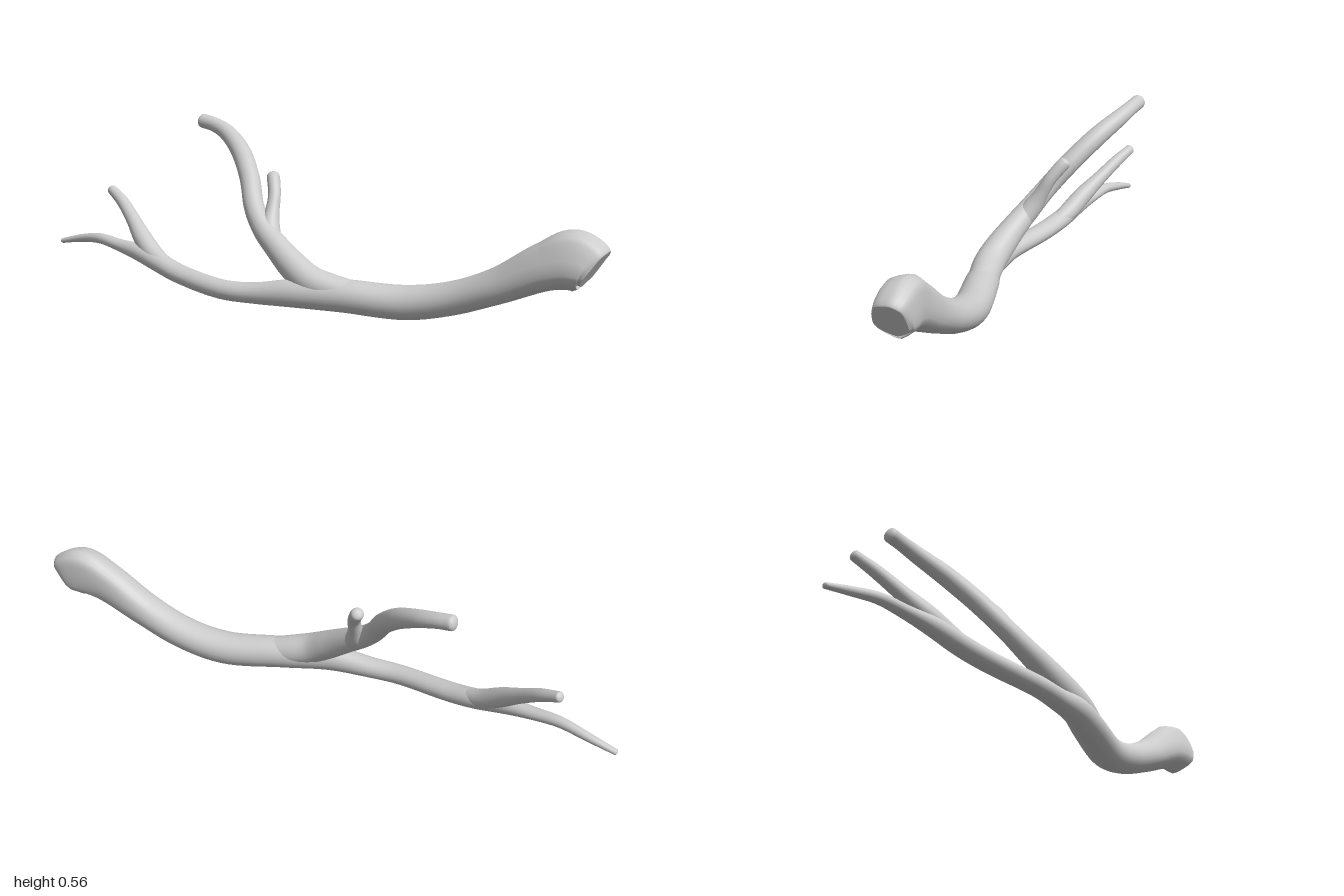
import * as THREE from 'three';

const SIDES = 28;
const STEPS = 8; // rings between neighbouring stations
const UP = new THREE.Vector3(0, 1, 0);

// Angular outline of the cut end, as (side, up) in units of the radii
const cutOutline = new THREE.CatmullRomCurve3(
  [[1, 0.05], [0.92, 0.72], [0.4, 1], [-0.5, 0.8], [-0.95, 0.05], [-1, -0.4], [-0.75, -0.7], [0.05, -1], [0.9, -0.55]]
    .map(([s, u]) => new THREE.Vector3(s, u, 0)), true, 'catmullrom', 0.3);

// Sweeps an oval section along stations [x, y, z, upRadius, sideRadius] and rounds off the tip.
// cutBlend(t) tells how much of the angular cut outline replaces the oval.
function limb(name, stations, material, cutBlend = () => 0) {
  const path = new THREE.CatmullRomCurve3(stations.map(s => new THREE.Vector3(s[0], s[1], s[2])));
  const radii = new THREE.CatmullRomCurve3(
    stations.map(s => new THREE.Vector3(s[3], s[4] ?? s[3], 0)), false, 'catmullrom', 0.5);
  const positions = [], index = [];
  const rings = (stations.length - 1) * STEPS;
  let ringCount = 0;

  const addRing = (t, scale = 1, push = 0) => {
    const tangent = path.getTangent(t);
    const side = new THREE.Vector3().crossVectors(tangent, UP).normalize();
    const up = new THREE.Vector3().crossVectors(side, tangent);
    const centre = path.getPoint(t).addScaledVector(tangent, push);
    const r = radii.getPoint(t).multiplyScalar(scale);
    for (let j = 0; j < SIDES; j++) {
      const a = (j / SIDES) * Math.PI * 2;
      const q = new THREE.Vector3(Math.cos(a), Math.sin(a), 0)
        .lerp(cutOutline.getPoint(j / SIDES), cutBlend(t));
      const p = centre.clone().addScaledVector(side, q.x * r.y).addScaledVector(up, q.y * r.x);
      positions.push(p.x, p.y, p.z);
    }
    ringCount++;
  };

  for (let i = 0; i <= rings; i++) addRing(i / rings);
  // Rounded tip
  const tip = stations[stations.length - 1][3];
  for (let k = 1; k <= 5; k++) {
    const a = (k / 5) * Math.PI / 2;
    addRing(1, Math.max(Math.cos(a), 0.001), Math.sin(a) * tip * 0.6);
  }
  for (let i = 0; i < ringCount - 1; i++) {
    for (let j = 0; j < SIDES; j++) {
      const a = i * SIDES + j, b = i * SIDES + (j + 1) % SIDES;
      index.push(a, a + SIDES, b, b, a + SIDES, b + SIDES);
    }
  }
  // Flat start cap with its own vertices, so that its rim stays sharp
  const base = positions.length / 3;
  positions.push(...positions.slice(0, SIDES * 3), ...path.getPoint(0).toArray());
  for (let j = 0; j < SIDES; j++) index.push(base + SIDES, base + j, base + (j + 1) % SIDES);

  const geometry = new THREE.BufferGeometry();
  geometry.setAttribute('position', new THREE.Float32BufferAttribute(positions, 3));
  geometry.setIndex(index);
  geometry.computeVertexNormals();
  const mesh = new THREE.Mesh(geometry, material);
  mesh.name = name;
  return mesh;
}

export function createModel() {
  const group = new THREE.Group();
  group.name = 'branch';
  const bark = new THREE.MeshStandardMaterial({ color: 0xcccccc, roughness: 0.9 });

  // Main stem, from the thick cut end to the thin tip
  group.add(limb('mainStem', [
    [0.995, 0.228, -0.024, 0.066, 0.055],
    [0.98, 0.238, -0.024, 0.081, 0.064],
    [0.93, 0.248, -0.02, 0.092, 0.066],
    [0.85, 0.224, -0.012, 0.075, 0.063],
    [0.7, 0.147, -0.004, 0.057, 0.06],
    [0.55, 0.089, 0.003, 0.053, 0.06],
    [0.4, 0.06, 0.026, 0.055, 0.059],
    [0.2, 0.068, 0.083, 0.053, 0.055],
    [0.05, 0.066, 0.13, 0.046, 0.045],
    [-0.08, 0.054, 0.152, 0.035, 0.038],
    [-0.2, 0.052, 0.161, 0.032, 0.036],
    [-0.4, 0.07, 0.122, 0.031, 0.038],
    [-0.5, 0.09, 0.098, 0.032, 0.036],
    [-0.6, 0.112, 0.08, 0.03, 0.031],
    [-0.7, 0.123, 0.063, 0.021, 0.024],
    [-0.8, 0.132, 0.045, 0.018, 0.019],
    [-0.9, 0.119, 0.027, 0.014, 0.015],
    [-0.992, 0.098, 0.021, 0.009, 0.011],
  ], bark, t => 1 - THREE.MathUtils.smoothstep(t, 0.1, 0.3)));

  // Large upper branch, flaring into the stem
  group.add(limb('upperBranch', [
    [0.28, 0.066, 0.062, 0.042],
    [0.18, 0.082, 0.086, 0.05],
    [0.1, 0.105, 0.102, 0.051],
    [0.03, 0.145, 0.094, 0.048],
    [-0.04, 0.192, 0.075, 0.042],
    [-0.11, 0.241, 0.05, 0.037],
    [-0.17, 0.3, 0.014, 0.034],
    [-0.23, 0.385, -0.05, 0.034],
    [-0.31, 0.463, -0.115, 0.033],
    [-0.4, 0.515, -0.163, 0.028],
    [-0.46, 0.535, -0.178, 0.025],
    [-0.51, 0.544, -0.183, 0.025],
  ], bark));

  // Short twig on the upper branch
  group.add(limb('shortTwig', [
    [-0.07, 0.205, 0.062, 0.032],
    [-0.095, 0.25, 0.035, 0.032],
    [-0.104, 0.295, 0.008, 0.024],
    [-0.113, 0.345, -0.02, 0.021],
    [-0.135, 0.388, -0.05, 0.022],
    [-0.143, 0.4, -0.06, 0.021],
  ], bark));

  // Side twig near the tip of the stem
  group.add(limb('sideTwig', [
    [-0.46, 0.084, 0.104, 0.026],
    [-0.53, 0.108, 0.085, 0.033],
    [-0.6, 0.154, 0.058, 0.032],
    [-0.67, 0.206, 0.02, 0.025],
    [-0.75, 0.26, -0.02, 0.021],
    [-0.815, 0.291, -0.046, 0.017],
  ], bark));

  return group;
}
